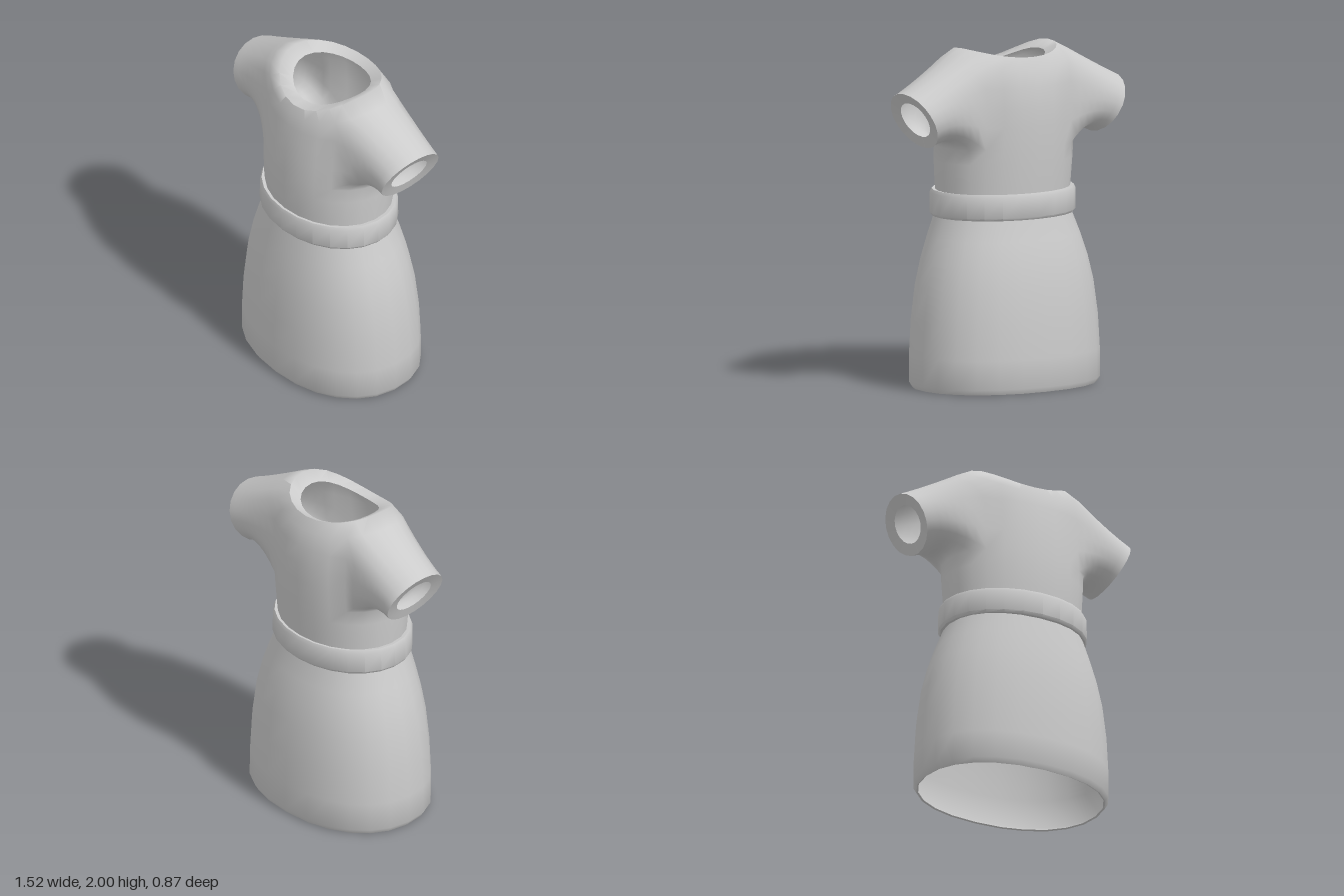
import * as THREE from 'three';
import { mergeGeometries, toCreasedNormals } from 'three/addons/utils/BufferGeometryUtils.js';

const N = 24; // points around each body ring

// Oval ring: height at side / front / back, half width, front z, back z, squareness
function ring([ySide, yFront, yBack, halfW, zFront, zBack], power) {
  const pts = [];
  const mid = (zFront + zBack) / 2, halfD = (zFront - zBack) / 2;
  const bend = v => Math.sign(v) * Math.pow(Math.abs(v), 2 / power);
  for (let i = 0; i < N; i++) {
    const t = (i / N) * Math.PI * 2;
    const c = Math.cos(t), s = Math.sin(t);
    const y = ySide + ((s > 0 ? yFront : yBack) - ySide) * s * s;
    pts.push(new THREE.Vector3(halfW * bend(c), y, mid + halfD * bend(s)));
  }
  return pts;
}

// Skin a stack of closed rings, leaving out the quads picked by skip(row, column)
function loft(rings, skip = () => false) {
  const n = rings[0].length, index = [];
  for (let r = 0; r < rings.length - 1; r++) {
    for (let c = 0; c < n; c++) {
      if (skip(r, c)) continue;
      const a = r * n + c, b = r * n + (c + 1) % n;
      index.push(a, a + n, b, b, a + n, b + n);
    }
  }
  const g = new THREE.BufferGeometry();
  g.setAttribute('position', new THREE.Float32BufferAttribute(rings.flat().flatMap(p => [p.x, p.y, p.z]), 3));
  g.setIndex(index);
  return g;
}

// Level rings: y, half width, front z, back z
const levels = (rows, power) => rows.map(([y, w, f, b]) => ring([y, y, y, w, f, b], power));

// Sleeve grown from the armhole edge of the bodice to a tilted oval cuff
function sleeve(body, side, row0, row1, span) {
  const at = (r, c) => body[r][((side > 0 ? c : N / 2 - c) + N) % N];
  const edge = [];
  for (let c = 0; c < span; c++) edge.push(at(row0, c));
  for (let r = row0; r < row1; r++) edge.push(at(r, span));
  for (let c = span; c > -span; c--) edge.push(at(row1, c));
  for (let r = row1; r > row0; r--) edge.push(at(r, -span));
  for (let c = -span; c < 0; c++) edge.push(at(row0, c));

  const axis = new THREE.Vector3(0.9 * side, -0.43, 0);
  const cuff = (k, inset) => edge.map((_, i) => {
    const t = (i / edge.length) * Math.PI * 2, u = -Math.cos(t) * k;
    return new THREE.Vector3(side * (0.68 + 0.08 * u), 1.605 + 0.165 * u, -0.033 + 0.205 * k * Math.sin(t))
      .addScaledVector(axis, -inset);
  });
  const end = cuff(1, 0), control = cuff(1, 0.16);
  const rings = [];
  for (let k = 0; k <= 7; k++) {
    const t = k / 7;
    rings.push(edge.map((p, i) => k === 0 ? p.clone()
      : new THREE.QuadraticBezierCurve3(p, control[i], end[i]).getPoint(t)));
  }
  rings.push(cuff(0.62, 0.01)); // turned-in cuff rim
  if (side < 0) rings.forEach(r => r.reverse());
  return loft(rings);
}

export function createModel() {
  const model = new THREE.Group();
  model.name = 'dress';
  const cloth = new THREE.MeshStandardMaterial({ color: 0xcccccc, side: THREE.DoubleSide });
  const add = (name, geometry, crease = 1) => {
    const mesh = new THREE.Mesh(toCreasedNormals(geometry, crease), cloth);
    mesh.name = name;
    model.add(mesh);
  };

  // Skirt, open at the hem
  add('skirt', loft(levels([
    [0.005, 0.565, 0.41, -0.41],
    [0, 0.575, 0.42, -0.42],
    [0.03, 0.594, 0.438, -0.436],
    [0.2, 0.592, 0.438, -0.434],
    [0.4, 0.58, 0.432, -0.426],
    [0.6, 0.553, 0.417, -0.406],
    [0.75, 0.516, 0.397, -0.38],
    [0.88, 0.472, 0.374, -0.347],
    [1.0, 0.425, 0.35, -0.31],
    [1.05, 0.41, 0.34, -0.3],
  ], 2.2)));

  // Belt band around the waist
  add('belt', loft(levels([
    [1.005, 0.4, 0.33, -0.29],
    [1.005, 0.442, 0.368, -0.328],
    [1.02, 0.453, 0.38, -0.34],
    [1.14, 0.452, 0.379, -0.34],
    [1.16, 0.442, 0.37, -0.33],
    [1.155, 0.41, 0.34, -0.3],
  ], 2.05)), 0.7);

  // Bodice rising to the scooped neckline, with a turned-in collar edge
  const body = [
    [1.03, 1.03, 1.03, 0.41, 0.34, -0.3],
    [1.2, 1.2, 1.2, 0.422, 0.357, -0.318],
    [1.33, 1.33, 1.33, 0.43, 0.36, -0.328],
    [1.42, 1.42, 1.42, 0.433, 0.358, -0.334],
    [1.55, 1.55, 1.55, 0.43, 0.35, -0.34],
    [1.66, 1.65, 1.66, 0.43, 0.338, -0.34],
    [1.78, 1.74, 1.78, 0.43, 0.325, -0.33],
    [1.95, 1.82, 1.88, 0.42, 0.308, -0.305],
    [2.0, 1.872, 1.95, 0.32, 0.285, -0.27],
    [1.955, 1.875, 1.92, 0.245, 0.208, -0.213],
  ].map(row => ring(row, 2.05));
  const row0 = 3, row1 = 7, span = 3;
  const armhole = (r, c) => {
    const k = (c + span) % (N / 2); // both sides share the same column range
    return r >= row0 && r < row1 && k < span * 2;
  };
  add('bodiceWithSleeves', mergeGeometries([
    loft(body, armhole),
    sleeve(body, 1, row0, row1, span),
    sleeve(body, -1, row0, row1, span),
  ]), 1.1);

  return model;
}
